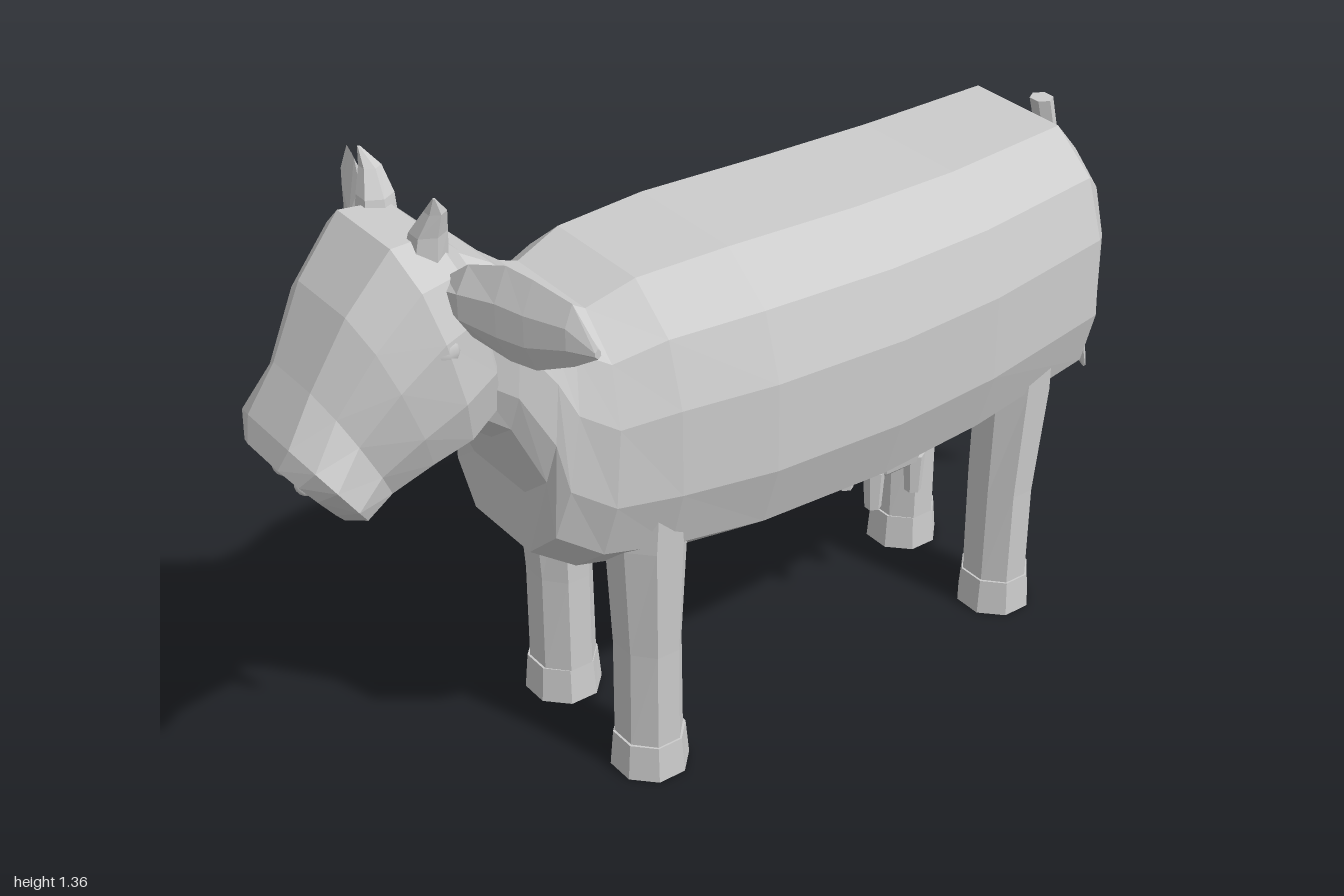
import * as THREE from 'three';

const hide = new THREE.MeshStandardMaterial({ color: 0xcccccc });
hide.name = 'grey hide';

// Faceted skin over rings that run counter-clockwise about the loft direction
function loft(name, rings) {
  const pos = [];
  const tri = (...pts) => pts.forEach((p) => pos.push(p.x, p.y, p.z));
  const cap = (ring, flip) => {
    const mid = new THREE.Vector3();
    ring.forEach((p) => mid.addScaledVector(p, 1 / ring.length));
    ring.forEach((p, j) => {
      const q = ring[(j + 1) % ring.length];
      if (flip) tri(mid, q, p);
      else tri(mid, p, q);
    });
  };
  for (let i = 0; i + 1 < rings.length; i++) {
    const n = rings[i].length;
    for (let j = 0; j < n; j++) {
      const k = (j + 1) % n;
      tri(rings[i][j], rings[i][k], rings[i + 1][k]);
      tri(rings[i][j], rings[i + 1][k], rings[i + 1][j]);
    }
  }
  cap(rings[0], true);
  cap(rings[rings.length - 1], false);
  const geo = new THREE.BufferGeometry();
  geo.setAttribute('position', new THREE.Float32BufferAttribute(pos, 3));
  geo.computeVertexNormals();
  const mesh = new THREE.Mesh(geo, hide);
  mesh.name = name;
  return mesh;
}

// Twelve-sided, slightly squared slice between a top and a bottom point
const half = [[1, -0.3], [1, 0.3], [0.85, 0.73], [0.47, 1]];
const outline = [...half, ...half.slice(1).reverse().map(([x, y]) => [-x, y]),
  [-1, -0.3], [-0.85, -0.73], [-0.47, -1], [0.47, -1], [0.85, -0.73]];
const slice = ([topZ, topY, botZ, botY, w]) => outline.map(([sx, sy]) => new THREE.Vector3(
  sx * w, (topY + botY) / 2 + sy * (topY - botY) / 2, (topZ + botZ) / 2 + sy * (topZ - botZ) / 2));

// Horizontal polygon ring for upright parts, listed from bottom to top
const ring = (x, y, z, rx, rz = rx, n = 8) => Array.from({ length: n }, (_, i) => {
  const a = ((i + 0.5) / n) * Math.PI * 2;
  return new THREE.Vector3(x + rx * Math.sin(a), y, z + rz * Math.cos(a));
});

// Leaf-shaped ear, thin from front to back
function ear(s) {
  const sections = [
    [0.13, 0.69, 1.215, 1.165, 0.02], [0.18, 0.675, 1.255, 1.115, 0.026],
    [0.25, 0.645, 1.273, 1.09, 0.026], [0.3, 0.625, 1.262, 1.088, 0.023],
    [0.37, 0.595, 1.238, 1.118, 0.016], [0.412, 0.575, 1.165, 1.145, 0.006],
  ];
  const rings = sections.map(([x, z, top, bot, t]) => {
    const r = [[0, 1], [1, 0.3], [1, -0.4], [0, -1], [-1, -0.4], [-1, 0.3]].map(([dz, dy]) =>
      new THREE.Vector3(s * x, (top + bot) / 2 + dy * (top - bot) / 2, z + dz * t));
    return s > 0 ? r : r.reverse();
  });
  return loft('ear', rings);
}

function bump(name, pos, scale) {
  const geo = new THREE.SphereGeometry(1, 10, 6);
  const mesh = new THREE.Mesh(geo, hide);
  mesh.name = name;
  mesh.position.set(...pos);
  mesh.scale.set(...scale);
  return mesh;
}

export function createModel() {
  const cow = new THREE.Group();
  cow.name = 'cow';

  // Barrel, chest and neck
  cow.add(loft('body', [
    [-0.83, 0.99, -0.83, 0.53, 0.18],
    [-0.74, 1.08, -0.76, 0.495, 0.255],
    [-0.45, 1.07, -0.45, 0.458, 0.284],
    [-0.2, 1.073, -0.2, 0.445, 0.295],
    [0.1, 1.085, 0.1, 0.453, 0.293],
    [0.3, 1.08, 0.3, 0.472, 0.266],
    [0.4, 1.045, 0.44, 0.5, 0.235],
    [0.45, 1.07, 0.53, 0.56, 0.2],
    [0.5, 1.11, 0.53, 0.69, 0.185],
    [0.57, 1.18, 0.59, 0.83, 0.17],
    [0.64, 1.22, 0.66, 0.88, 0.14],
  ].map(slice)));

  // Head from poll to nose pad
  cow.add(loft('head', [
    [0.6, 1.19, 0.58, 0.98, 0.11],
    [0.68, 1.27, 0.59, 0.88, 0.165],
    [0.77, 1.275, 0.66, 0.84, 0.19],
    [0.86, 1.17, 0.73, 0.82, 0.172],
    [0.93, 1.04, 0.8, 0.785, 0.138],
    [0.985, 0.95, 0.86, 0.77, 0.155],
    [1.0, 0.905, 0.89, 0.77, 0.115],
  ].map(slice)));

  for (const s of [1, -1]) {
    cow.add(ear(s));
    cow.add(loft('horn', [
      ring(s * 0.08, 1.22, 0.7, 0.04, 0.04, 6),
      ring(s * 0.088, 1.285, 0.695, 0.032, 0.034, 6),
      ring(s * 0.108, 1.33, 0.69, 0.02, 0.02, 6),
      ring(s * 0.124, 1.362, 0.7, 0.003, 0.003, 6),
    ]));
    cow.add(bump('eye', [s * 0.173, 1.1, 0.725], [0.018, 0.03, 0.03]));
    cow.add(bump('nostril', [s * 0.04, 0.845, 0.948], [0.024, 0.015, 0.015]));

    // Eight-sided legs with flared hooves
    for (const [name, z, lean] of [['frontLeg', 0.31, 0], ['hindLeg', -0.61, -0.015]]) {
      const leg = new THREE.Group();
      leg.name = name;
      leg.add(loft('hoof', [ring(s * 0.155, 0, z, 0.083, 0.08), ring(s * 0.155, 0.08, z, 0.077, 0.073)]));
      leg.add(loft('shank', [
        ring(s * 0.153, 0.08, z, 0.075, 0.068),
        ring(s * 0.154, 0.3, z, 0.077, 0.066),
        ring(s * 0.157, 0.55, z + lean, 0.085, 0.08),
        ring(s * 0.165, 0.64, z + lean, 0.08, 0.07),
      ]));
      cow.add(leg);
    }

    for (const z of [-0.35, -0.46]) {
      cow.add(loft('teat', [
        ring(s * 0.046, 0.278, z, 0.018, 0.018, 6),
        ring(s * 0.046, 0.37, z, 0.024, 0.024, 6),
      ]));
    }
  }

  cow.add(loft('udder', [
    ring(0, 0.33, -0.41, 0.035, 0.07),
    ring(0, 0.36, -0.41, 0.07, 0.105),
    ring(0, 0.42, -0.41, 0.083, 0.13),
    ring(0, 0.48, -0.41, 0.083, 0.145),
  ]));

  // Tail with a pointed tuft
  cow.add(loft('tail', [
    ring(0, 0.37, -0.997, 0.004, 0.004, 6),
    ring(0, 0.5, -0.942, 0.036, 0.032, 6),
    ring(0, 0.56, -0.935, 0.02, 0.018, 6),
    ring(0, 1.08, -0.806, 0.026, 0.024, 6),
  ]));

  return cow;
}
